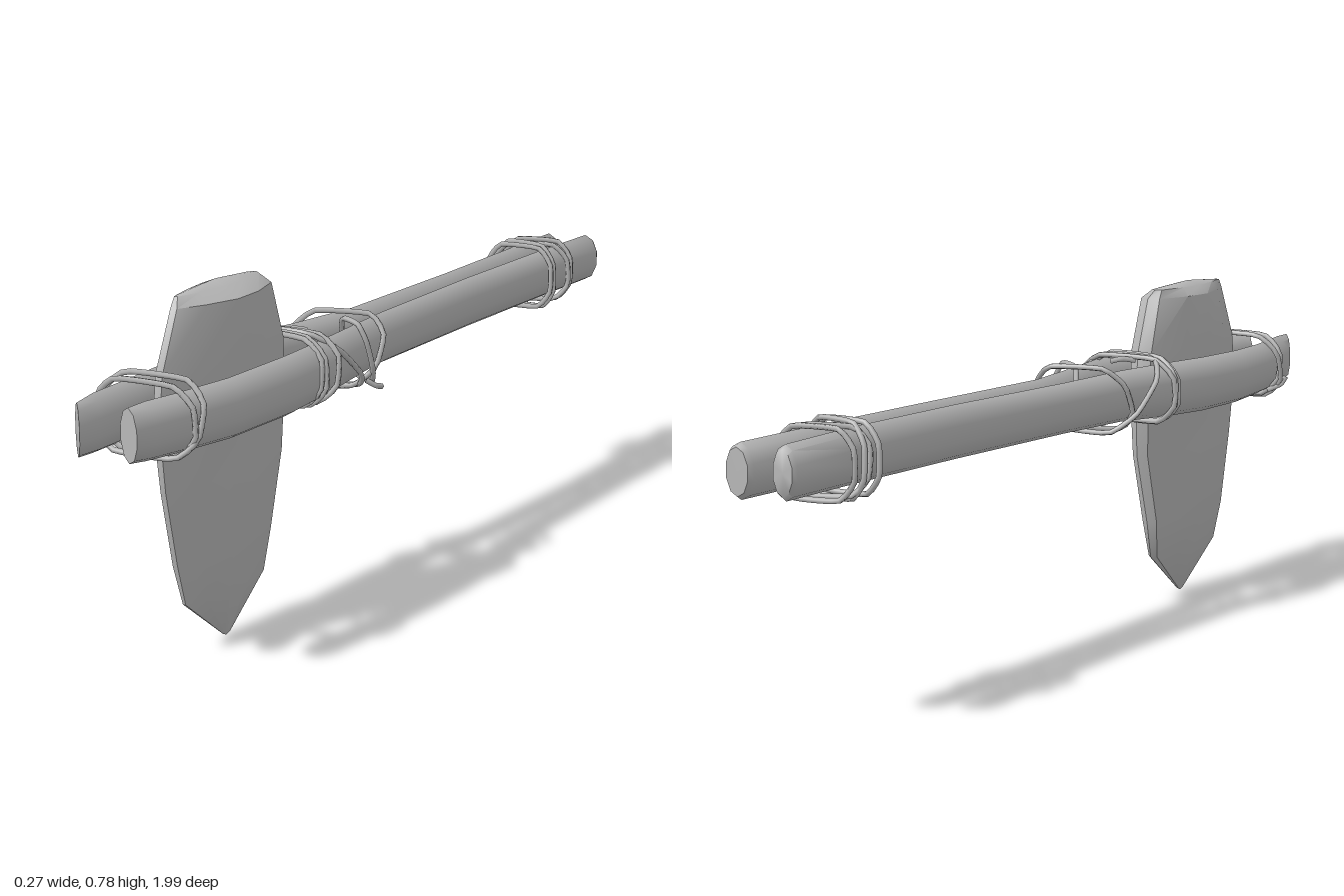
import * as THREE from 'three';
import { toCreasedNormals } from 'three/addons/utils/BufferGeometryUtils.js';

const grey = new THREE.MeshStandardMaterial({ color: 0xb8b8b8 });
grey.name = 'plain grey';

// Skin a stack of rings (arrays of [x, y, z]) and close both ends with fans.
function loft(rings, startTip, endTip, crease) {
  const n = rings[0].length, last = (rings.length - 1) * n;
  const pos = [...rings.flat(), startTip, endTip].flat();
  const s = rings.length * n, e = s + 1, index = [];
  for (let j = 0; j < n; j++) {
    const k = (j + 1) % n;
    for (let i = 0; i < last; i += n) {
      index.push(i + j, i + k, i + n + k, i + j, i + n + k, i + n + j);
    }
    index.push(s, k, j, e, last + j, last + k);
  }
  const g = new THREE.BufferGeometry();
  g.setAttribute('position', new THREE.Float32BufferAttribute(pos, 3));
  g.setIndex(index);
  return toCreasedNormals(g, crease);
}

function add(group, name, geometry) {
  const mesh = new THREE.Mesh(geometry, grey);
  mesh.name = name;
  group.add(mesh);
}

// Stick stations: z, centre x, centre y, half width, half height, slant of the cut
function stick(stations) {
  const sides = 10;
  const rings = stations.map(([z, cx, cy, rx, ry, slant = 0]) =>
    Array.from({ length: sides }, (_, j) => {
      const a = (j / sides) * Math.PI * 2 + Math.PI / 2;
      return [cx + rx * Math.cos(a), cy + ry * Math.sin(a), z + slant * Math.cos(a)];
    }));
  const a = stations[0], b = stations[stations.length - 1];
  return loft(rings, [a[1], a[2], a[0]], [b[1], b[2], b[0]], 0.95);
}

// Stone blade: a lens-shaped outline scaled up the height
function blade() {
  const outline = [[0.62, 0.6], [1, 0.1], [0.9, -0.4], [0.45, -0.93], [0, -1],
    [-0.45, -0.93], [-0.9, -0.4], [-1, 0.1], [-0.62, 0.6], [-0.14, 1], [0.14, 1]];
  // y, centre x, half thickness, centre z, half length
  const levels = [
    [0.006, 0.008, 0.005, 0.56, 0.012],
    [0.11, 0.004, 0.026, 0.56, 0.14],
    [0.2, 0, 0.045, 0.56, 0.163],
    [0.37, 0.004, 0.047, 0.56, 0.203],
    [0.52, 0, 0.058, 0.56, 0.216],
    [0.62, 0.002, 0.064, 0.56, 0.205],
    [0.745, 0.004, 0.058, 0.557, 0.158],
    [0.765, -0.005, 0.03, 0.555, 0.14]];
  const rings = levels.map(([y, cx, w, cz, l]) => outline.map(([x, z]) => [cx + x * w, y, cz + z * l]));
  return loft(rings, [0.008, 0, 0.56], [-0.008, 0.776, 0.555], 0.6);
}

// Closed cord around the sticks, leaning along z by kx and ky
function cordLoop(z, cx, w, h, kx, ky) {
  const corners = [[1, 0.45], [0.6, 1], [-0.6, 1], [-1, 0.45], [-1, -0.45], [-0.6, -1], [0.6, -1], [1, -0.45]];
  const pts = corners.map(([x, y]) =>
    new THREE.Vector3(cx + x * w, 0.542 + y * h, z + kx * x * w + ky * y * h));
  return cord(pts, true);
}

function cord(pts, closed) {
  const curve = new THREE.CatmullRomCurve3(pts, closed, 'catmullrom', 0.25);
  return new THREE.TubeGeometry(curve, closed ? 32 : 10, 0.0065, 5, closed);
}

export function createModel() {
  const model = new THREE.Group();
  model.name = 'stoneAxe';

  add(model, 'stoneBlade', blade());

  // Split handle, bowed outward around the blade
  add(model, 'rightStick', stick([
    [-0.965, -0.053, 0.548, 0.026, 0.048], [-0.955, -0.053, 0.548, 0.032, 0.057],
    [-0.75, -0.042, 0.548, 0.031, 0.059], [-0.4, -0.034, 0.545, 0.029, 0.059],
    [0, -0.038, 0.541, 0.031, 0.058], [0.2, -0.055, 0.543, 0.033, 0.06],
    [0.35, -0.081, 0.541, 0.035, 0.064], [0.5, -0.089, 0.536, 0.036, 0.065],
    [0.65, -0.089, 0.535, 0.036, 0.064], [0.77, -0.077, 0.537, 0.035, 0.062],
    [0.9, -0.059, 0.542, 0.036, 0.061, 0.02], [0.965, -0.047, 0.544, 0.03, 0.056, 0.03]]));
  add(model, 'leftStick', stick([
    [-1, 0.035, 0.547, 0.03, 0.05], [-0.988, 0.035, 0.547, 0.036, 0.058],
    [-0.75, 0.034, 0.547, 0.033, 0.059], [-0.4, 0.034, 0.545, 0.03, 0.059],
    [0, 0.041, 0.541, 0.031, 0.058], [0.12, 0.057, 0.542, 0.033, 0.059],
    [0.3, 0.084, 0.542, 0.034, 0.063], [0.45, 0.091, 0.537, 0.034, 0.065],
    [0.65, 0.089, 0.535, 0.034, 0.064], [0.8, 0.074, 0.538, 0.035, 0.062],
    [0.89, 0.063, 0.541, 0.036, 0.061, 0.01], [0.94, 0.06, 0.543, 0.033, 0.057, 0.015]]));

  // Lashings: z, centre x, half width, half height, lean across, lean up
  const lashings = {
    frontLashing: [
      [0.795, 0, 0.118, 0.077, -0.1, -0.3], [0.81, 0.002, 0.113, 0.073, -0.08, 0.1]],
    middleLashing: [
      [0.335, 0, 0.12, 0.076, 0.05, 0.05], [0.315, 0.003, 0.122, 0.074, -0.1, -0.1],
      [0.35, 0, 0.118, 0.073, 0.05, -0.05], [0.23, 0.002, 0.11, 0.076, 0, 1.2],
      [0.14, 0.005, 0.1, 0.074, -0.35, -0.5], [0.125, 0.06, 0.048, 0.07, 0.5, 0.4]],
    backLashing: [
      [-0.73, -0.012, 0.085, 0.074, -0.05, 0], [-0.758, -0.01, 0.083, 0.077, 0.1, 0.05],
      [-0.825, -0.015, 0.083, 0.073, -0.25, 0], [-0.79, -0.012, 0.085, 0.07, -0.4, 0.1]]
  };
  for (const [name, loops] of Object.entries(lashings)) {
    const group = new THREE.Group();
    group.name = name;
    loops.forEach(l => add(group, 'cordLoop', cordLoop(...l)));
    model.add(group);
  }

  // Loose cord ends
  const ends = [
    [[0.09, 0.48, 0.14], [0.105, 0.465, 0.12], [0.108, 0.46, 0.1]],
    [[-0.09, 0.48, 0.8], [-0.115, 0.495, 0.825], [-0.127, 0.515, 0.83]],
    [[-0.02, 0.61, 0.31], [0, 0.615, 0.285], [0.02, 0.61, 0.265]]];
  ends.forEach(e => add(model, 'looseCordEnd', cord(e.map(p => new THREE.Vector3(...p)), false)));

  return model;
}
